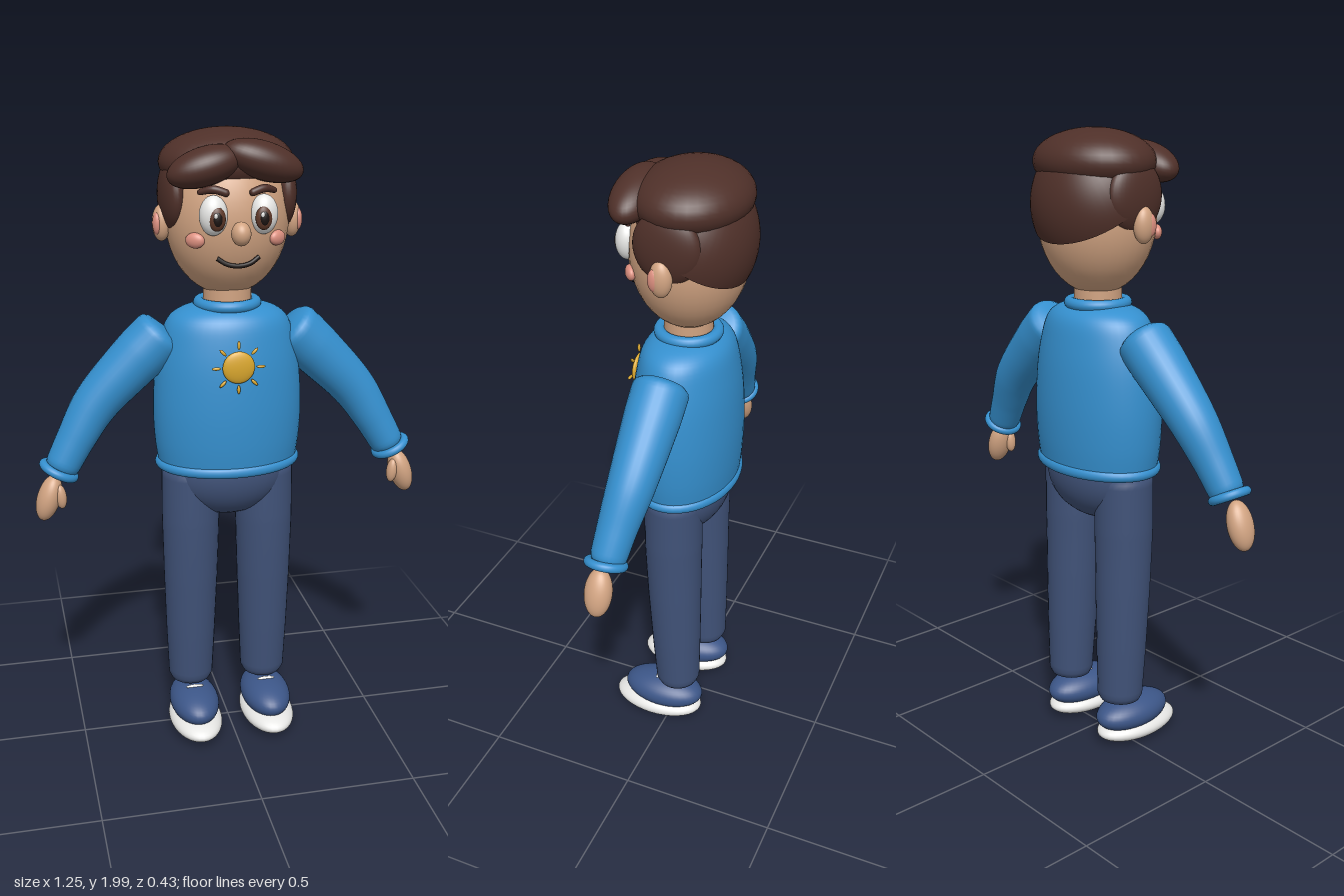
import * as THREE from 'three';
import { mergeVertices } from 'three/addons/utils/BufferGeometryUtils.js';

const material = (name, color, side = THREE.FrontSide) => {
  const m = new THREE.MeshStandardMaterial({ color, side });
  m.name = name;
  return m;
};

export function createModel() {
  const skin = material('skin', 0xd2a482);
  const hair = material('hair brown', 0x4f3029, THREE.DoubleSide);
  const knit = material('sweater blue', 0x3590cf, THREE.DoubleSide);
  const denim = material('trouser blue', 0x405278);
  const canvas = material('shoe blue', 0x3c5688);
  const white = material('white', 0xf0f0ee);
  const dark = material('black', 0x1c1412);
  const gold = material('sun yellow', 0xdba82e);
  const pink = material('blush pink', 0xdd9080);
  const iris = material('iris brown', 0x5e3828);

  const model = new THREE.Group();
  model.name = 'standingFigure';
  const v = (x, y, z) => new THREE.Vector3(x, y, z);

  const add = (name, geometry, mat, pos = [0, 0, 0], rot = [0, 0, 0]) => {
    const mesh = new THREE.Mesh(geometry, mat);
    mesh.name = name;
    mesh.position.set(...pos);
    mesh.rotation.set(...rot);
    model.add(mesh);
    return mesh;
  };
  const blob = (name, mat, pos, radii, rot) =>
    add(name, new THREE.SphereGeometry(1, 36, 24).scale(...radii), mat, pos, rot);

  // Tube whose radius follows a list of evenly spaced values, with rounded ends
  const limb = (points, radii, round) => {
    const steps = 48, sides = 28;
    const curve = new THREE.CatmullRomCurve3(points);
    const geo = new THREE.TubeGeometry(curve, steps, 1, sides);
    const p = geo.attributes.position, n = geo.attributes.normal;
    for (let i = 0; i < p.count; i++) {
      const t = Math.floor(i / (sides + 1)) / steps;
      const f = t * (radii.length - 1), k = Math.min(Math.floor(f), radii.length - 2);
      const end = Math.min(1, Math.min(t, 1 - t) / round);
      const r = THREE.MathUtils.lerp(radii[k], radii[k + 1], f - k)
        * Math.pow(1 - (1 - end) ** 3, 0.5) - 1;
      p.setXYZ(i, p.getX(i) + n.getX(i) * r, p.getY(i) + n.getY(i) * r, p.getZ(i) + n.getZ(i) * r);
    }
    geo.deleteAttribute('normal');
    geo.deleteAttribute('uv');
    const smooth = mergeVertices(geo, 1e-5);
    smooth.computeVertexNormals();
    return smooth;
  };

  // Sweater body, hem and collar
  const profile = new THREE.SplineCurve([
    [0.222, 0.955], [0.234, 1.04], [0.238, 1.15], [0.23, 1.27], [0.213, 1.36],
    [0.19, 1.425], [0.15, 1.458], [0.09, 1.475],
  ].map(([x, y]) => new THREE.Vector2(x, y))).getPoints(32);
  add('sweaterBody', new THREE.LatheGeometry(profile, 48).scale(1, 1, 0.695), knit, [0, 0, -0.01]);
  const ring = (r, tube) => new THREE.TorusGeometry(r, tube, 16, 48).rotateX(Math.PI / 2);
  add('sweaterHem', ring(0.218, 0.017).scale(1, 1, 0.7), knit, [0, 0.962, -0.01]);
  add('sweaterCollar', ring(0.088, 0.018), knit, [0, 1.475, -0.01]);

  // Sun badge
  blob('sunDisc', gold, [0, 1.308, 0.156], [0.05, 0.05, 0.014]);
  for (let i = 0; i < 8; i++) {
    const a = i * Math.PI / 4;
    blob('sunRay', gold, [-Math.sin(a) * 0.069, 1.308 + Math.cos(a) * 0.069, 0.157],
      [0.005, 0.014, 0.005], [0, 0, a]);
  }

  // Pelvis and neck
  blob('pelvis', denim, [0, 0.93, -0.01], [0.2, 0.155, 0.135]);
  add('neck', new THREE.CylinderGeometry(0.075, 0.075, 0.12, 36), skin, [0, 1.5, -0.01]);

  // Head, hair cap tilted toward the back, crown and nose
  blob('head', skin, [0, 1.74, -0.015], [0.19, 0.24, 0.178]);
  add('hairCap', new THREE.SphereGeometry(1, 48, 24, 0, Math.PI * 2, 0, Math.PI / 2)
    .rotateX(-0.53).scale(0.203, 0.215, 0.187), hair, [0, 1.775, -0.026]);
  blob('hairCrown', hair, [0, 1.9, -0.025], [0.205, 0.1, 0.172]);
  blob('fringeRight', hair, [-0.092, 1.9, 0.112], [0.115, 0.056, 0.07], [0, 0, 0.28]);
  blob('fringeLeft', hair, [0.08, 1.913, 0.115], [0.125, 0.056, 0.068], [0, 0, -0.3]);
  blob('nose', skin, [0, 1.715, 0.182], [0.029, 0.035, 0.032]);

  // Mouth
  const smile = new THREE.CatmullRomCurve3([
    v(-0.063, 1.639, 0.142), v(-0.035, 1.622, 0.149), v(0, 1.616, 0.152),
    v(0.035, 1.622, 0.149), v(0.063, 1.639, 0.142)]);
  add('mouth', new THREE.TubeGeometry(smile, 24, 0.007, 10), dark);

  for (const s of [-1, 1]) {
    // Face details
    blob('eyeWhite', white, [s * 0.075, 1.765, 0.148], [0.042, 0.058, 0.036]);
    blob('iris', iris, [s * 0.069, 1.758, 0.175], [0.025, 0.035, 0.014]);
    blob('pupil', dark, [s * 0.069, 1.758, 0.184], [0.014, 0.021, 0.008]);
    blob('eyeGlint', white, [s * 0.069 - 0.007, 1.769, 0.19], [0.006, 0.008, 0.004]);
    blob('cheek', pink, [s * 0.124, 1.69, 0.119], [0.03, 0.023, 0.016], [0, s * 0.6, 0]);
    const brow = new THREE.CatmullRomCurve3([
      v(s * 0.03, 1.826, 0.16), v(s * 0.075, 1.839, 0.15), v(s * 0.118, 1.828, 0.125)]);
    add('eyebrow', limb([brow.getPoint(0), brow.getPoint(0.5), brow.getPoint(1)],
      [0.011, 0.012, 0.008], 0.15), hair);

    // Side hair and ears
    blob('sideHair', hair, [s * 0.168, 1.805, -0.015], [0.042, 0.108, 0.103]);
    blob('ear', skin, [s * 0.202, 1.725, -0.01], [0.028, 0.055, 0.034]);
    blob('innerEar', pink, [s * 0.217, 1.725, 0.004], [0.014, 0.034, 0.019]);

    // Sleeve, cuff and hand
    add('sleeve', limb([
      v(s * 0.19, 1.402, -0.012), v(s * 0.31, 1.288, -0.012), v(s * 0.42, 1.172, -0.008),
      v(s * 0.485, 1.07, 0.006), v(s * 0.548, 0.958, 0.02)],
    [0.087, 0.085, 0.078, 0.07, 0.06, 0.053], 0.08), knit);
    add('cuff', ring(0.052, 0.014), knit, [s * 0.545, 0.97, 0.019], [0, 0, s * 0.48]);
    blob('hand', skin, [s * 0.581, 0.885, 0.03], [0.037, 0.077, 0.043], [0, 0, s * 0.32]);
    blob('thumb', skin, [s * 0.545, 0.893, 0.05], [0.018, 0.04, 0.019], [0, 0, s * -0.1]);

    // Trouser leg
    add('trouserLeg', limb([
      v(s * 0.122, 0.965, -0.01), v(s * 0.123, 0.7, -0.01), v(s * 0.125, 0.4, -0.018),
      v(s * 0.126, 0.15, -0.026)],
    [0.093, 0.094, 0.089, 0.082, 0.073], 0.05), denim);

    // Shoe
    blob('shoeSole', white, [s * 0.125, 0.047, 0.05], [0.088, 0.041, 0.158]);
    blob('shoeUpper', canvas, [s * 0.125, 0.1, 0.03], [0.082, 0.058, 0.142]);
    blob('shoeLace', white, [s * 0.125, 0.156, 0.045], [0.03, 0.006, 0.008]);
  }
  return model;
}
